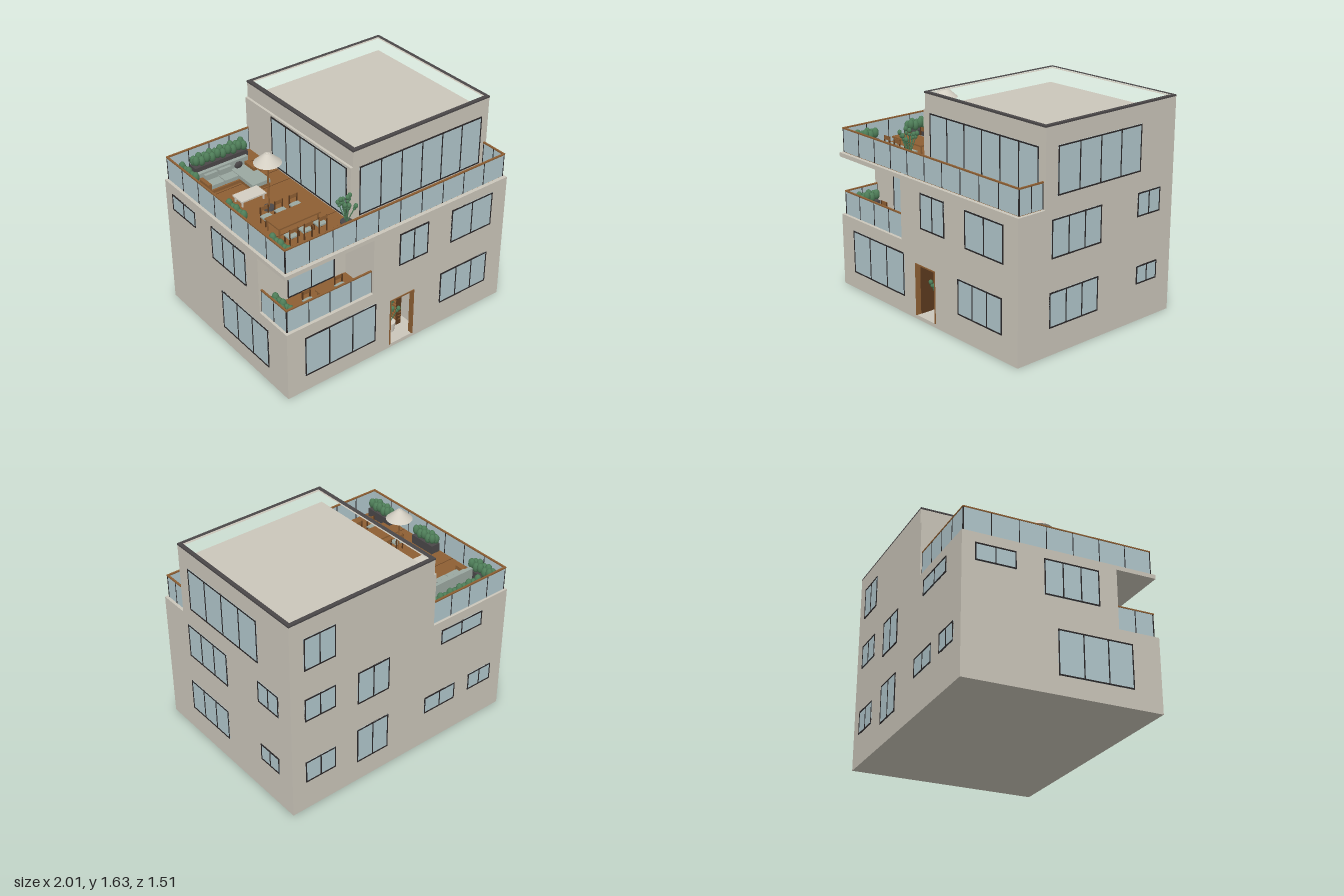
import * as THREE from 'three';

const mat = (name, color) => Object.assign(new THREE.MeshStandardMaterial({ color }), { name });

export function createModel() {
  const root = new THREE.Group();
  root.name = 'house';
  const M = {
    wall: mat('plaster', 0xcbc6ba), glass: mat('pale glass', 0xb1c7cc), frame: mat('dark frame', 0x2b2829),
    coping: mat('charcoal', 0x4a4748), wood: mat('warm wood', 0x8e5f33), dark: mat('dark wood', 0x5c3a1e),
    leaf: mat('leaf green', 0x4e7d58), fabric: mat('grey green fabric', 0x9ba8a1), cream: mat('cream', 0xd3cec2),
  };

  const group = (name) => {
    const g = new THREE.Group();
    g.name = name;
    root.add(g);
    return g;
  };
  const add = (name, geo, m, parent = root) => {
    const mesh = new THREE.Mesh(geo, m);
    mesh.name = name;
    parent.add(mesh);
    return mesh;
  };
  // box given by its extents
  const box = (name, x0, x1, y0, y1, z0, z1, m, parent) => {
    const b = add(name, new THREE.BoxGeometry(x1 - x0, y1 - y0, z1 - z0), m, parent);
    b.position.set((x0 + x1) / 2, (y0 + y1) / 2, (z0 + z1) / 2);
  };
  // upright prism from a floor plan of [x, z] points, with an optional hole
  const prism = (name, plan, y0, y1, m, hole) => {
    const pts = (a) => a.map(([x, z]) => new THREE.Vector2(x, -z));
    const shape = new THREE.Shape(pts(plan));
    if (hole) shape.holes.push(new THREE.Path(pts(hole)));
    const geo = new THREE.ExtrudeGeometry(shape, { depth: y1 - y0, bevelEnabled: false });
    add(name, geo.rotateX(-Math.PI / 2), m).position.y = y0;
  };
  const rect = (x0, x1, z0, z1) => [[x0, z0], [x1, z0], [x1, z1], [x0, z1]];

  // storeys: the ground floor has an entrance niche, the middle floor a corner balcony
  box('plinth', -1, 1, 0, 0.03, -0.75, 0.75, M.wall);
  prism('groundFloor', [[-1, -0.75], [1, -0.75], [1, 0.75], [0.13, 0.75], [0.13, 0.72], [0.2, 0.72],
    [0.2, 0.35], [-0.12, 0.35], [-0.12, 0.72], [-0.09, 0.72], [-0.09, 0.75], [-1, 0.75]], 0.03, 0.43, M.wall);
  box('groundFloorTop', -1, 1, 0.43, 0.57, -0.75, 0.75, M.wall);
  prism('middleFloor', [[-1, -0.75], [1, -0.75], [1, 0.75], [-0.25, 0.75], [-0.25, 0.43], [-1, 0.43]], 0.57, 1.03, M.wall);
  box('terraceSlab', -1, 1, 1.03, 1.062, -0.75, 0.75, M.wall);
  box('penthouse', -0.27, 1, 1.062, 1.5, -0.75, 0.51, M.wall);
  prism('parapet', rect(-0.25, 1, -0.75, 0.51), 1.5, 1.622, M.wall, rect(-0.22, 0.97, -0.72, 0.48));
  prism('coping', rect(-0.255, 1, -0.75, 0.515), 1.622, 1.634, M.coping, rect(-0.22, 0.97, -0.72, 0.485));

  // wooden floors
  box('terraceDeck', -0.975, -0.27, 1.062, 1.067, -0.73, 0.72, M.wood);
  box('frontDeck', -0.235, 0.975, 1.062, 1.067, 0.515, 0.72, M.wood);
  box('balconyDeck', -0.975, -0.25, 0.57, 0.575, 0.43, 0.72, M.wood);
  for (const z of [-0.57, -0.42, -0.35, -0.2, 0.35, 0.5, 0.57])
    box('deckJoint', -0.975, -0.27, 1.067, 1.068, z - 0.002, z + 0.002, M.dark);

  // windows of one wall: turn = quarter turns from the front, d = wall distance;
  // the returned function places a window from a0 to a1, rightwards as seen from outside
  const wallWindows = (turn, d) => (a0, a1, y0, y1, n) => {
    const g = group('window');
    g.rotation.y = turn * Math.PI / 2;
    box('glass', a0, a1, y0, y1, d - 0.002, d + 0.003, M.glass, g);
    for (const y of [y0, y1 - 0.01]) box('frameRail', a0, a1, y, y + 0.01, d, d + 0.006, M.frame, g);
    for (let i = 0; i <= n; i++) {
      const a = a0 + 0.004 + (a1 - a0 - 0.008) * i / n;
      box('frameStile', a - 0.004, a + 0.004, y0, y1, d, d + 0.006, M.frame, g);
    }
  };
  const front = wallWindows(0, 0.75), left = wallWindows(1, 1), back = wallWindows(2, 0.75), right = wallWindows(3, 1);
  const head = 0.985; // common window head of the middle floor
  front(-0.85, -0.225, 0.135, 0.475, 3);
  front(0.385, 0.845, 0.19, 0.46, 3);
  front(-0.02, 0.245, 0.715, head, 2);
  front(0.465, 0.86, 0.705, head, 2);
  wallWindows(0, 0.43)(-0.76, -0.35, 0.58, 0.96, 2);
  wallWindows(0, 0.51)(-0.195, 0.935, 1.09, 1.485, 6);
  wallWindows(3, 0.27)(-0.42, 0.47, 1.08, 1.485, 5);
  left(-0.4, 0.4, 1.14, 1.485, 4);
  left(-0.45, 0.02, 0.705, head, 3);
  left(0.385, 0.615, 0.805, head, 2);
  left(-0.465, 0, 0.205, 0.465, 3);
  left(0.395, 0.605, 0.29, 0.43, 2);
  for (const [y0, y1] of [[0.25, 0.435], [0.795, head], [1.225, 1.485]]) back(-0.885, -0.62, y0, y1, 2);
  for (const [y0, y1] of [[0.175, 0.475], [0.71, head]]) back(-0.425, -0.14, y0, y1, 2);
  back(0.35, 0.75, 0.86, head, 2);
  back(0.215, 0.515, 0.29, 0.435, 2);
  back(0.655, 0.885, 0.295, 0.44, 2);
  right(-0.045, 0.53, 0.14, 0.475, 3);
  right(-0.655, -0.35, 0.85, head, 2);
  right(-0.14, 0.285, 0.71, head, 3);

  // glass railings with wooden handrails
  const railing = (x0, z0, x1, z1, y0, n) => {
    const g = group('railing');
    const len = Math.hypot(x1 - x0, z1 - z0), h = 0.18;
    g.position.set(x0, y0, z0);
    g.rotation.y = Math.atan2(z0 - z1, x1 - x0);
    box('railGlass', 0, len, 0, h, -0.003, 0.003, M.glass, g);
    box('handrail', -0.006, len + 0.006, h, h + 0.01, -0.007, 0.007, M.wood, g);
    for (let i = 0; i <= n; i++) box('railPost', len * i / n - 0.003, len * i / n + 0.003, 0, h, -0.005, 0.005, M.frame, g);
  };
  const R = 0.977, F = 0.722, Y = 1.067, B = 0.575; // rail lines, terrace and balcony floor heights
  railing(-R, F, R, F, Y, 10);
  railing(-R, -0.732, -R, F, Y, 7);
  railing(-R, -0.732, -0.27, -0.732, Y, 4);
  railing(R, 0.515, R, F, Y, 2);
  railing(-R, F, -0.25, F, B - 0.005, 4);
  railing(-R, 0.43, -R, F, B - 0.005, 2);

  // entrance: frame, open door leaf and slatted shelf
  for (const x of [-0.092, 0.122]) box('doorJamb', x, x + 0.01, 0.03, 0.435, 0.715, 0.755, M.wood);
  box('doorHead', -0.092, 0.132, 0.425, 0.435, 0.715, 0.755, M.wood);
  box('doorLeaf', -0.085, -0.075, 0.032, 0.424, 0.51, 0.715, M.dark);
  box('doorHandle', -0.075, -0.065, 0.2, 0.22, 0.53, 0.55, M.frame);
  for (const z of [0.45, 0.6]) box('shelfSide', 0.095, 0.14, 0.03, 0.3, z, z + 0.008, M.dark);
  for (let i = 0; i < 9; i++) box('shelfSlat', 0.095, 0.14, 0.04 + i * 0.03, 0.052 + i * 0.03, 0.45, 0.608, M.wood);

  // planting
  const ball = new THREE.SphereGeometry(1, 10, 7);
  const planter = (x0, x1, z0, z1, y) => {
    const g = group('planter');
    box('trough', x0, x1, y, y + 0.07, z0, z1, M.coping, g);
    const nx = Math.round((x1 - x0) / 0.045), nz = Math.round((z1 - z0) / 0.045);
    for (let i = 0; i < nx; i++) for (let j = 0; j < nz; j++) {
      const b = add('shrub', ball, M.leaf, g);
      b.position.set(x0 + (x1 - x0) * (i + 0.5) / nx, y + 0.105 + 0.015 * ((i + j) % 2), z0 + (z1 - z0) * (j + 0.5) / nz);
      b.scale.set(0.027, 0.04, 0.027);
    }
  };
  for (const z of [-0.67, -0.06, 0.46]) planter(-0.965, -0.885, z, z + 0.225, Y);
  planter(-0.81, -0.35, -0.71, -0.63, Y);
  planter(-0.965, -0.885, 0.47, 0.69, B);

  const pottedPlant = (x, y, z, potMat) => {
    const g = group('pottedPlant');
    g.position.set(x, y, z);
    add('pot', new THREE.CylinderGeometry(0.045, 0.036, 0.08, 16), potMat, g).position.y = 0.04;
    for (let i = 0; i < 8; i++) {
      const t = i * 2.4, r = i ? 0.045 + 0.02 * (i % 2) : 0.01;
      const end = new THREE.Vector3(r * Math.cos(t), 0.27 - 0.018 * (i % 4), r * Math.sin(t));
      const path = new THREE.LineCurve3(new THREE.Vector3(0, 0.07, 0), end);
      add('stem', new THREE.TubeGeometry(path, 1, 0.004, 5), M.leaf, g);
      for (const [k, s] of [[1, 0.016], [0.85, 0.012]]) {
        const b = add('foliage', ball, M.leaf, g);
        b.position.copy(path.getPoint(k));
        b.scale.set(s, s * 1.2, s);
      }
    }
  };
  pottedPlant(0.02, 0.03, 0.62, M.cream);
  pottedPlant(-0.36, Y, 0.58, M.coping);

  // parasol
  const parasol = group('parasol');
  parasol.position.set(-0.62, Y, 0.03);
  add('pole', new THREE.CylinderGeometry(0.007, 0.007, 0.4, 10), M.wood, parasol).position.y = 0.2;
  add('base', new THREE.CylinderGeometry(0.04, 0.045, 0.015, 16), M.coping, parasol).position.y = 0.008;
  add('canopy', new THREE.CylinderGeometry(0.02, 0.1, 0.072, 24), M.cream, parasol).position.y = 0.415;
  add('finial', new THREE.SphereGeometry(0.018, 12, 6), M.cream, parasol).position.y = 0.44;

  // corner sofa
  const sofa = group('sofa');
  sofa.position.y = Y;
  box('sofaBase', -0.86, -0.44, 0, 0.025, -0.51, -0.37, M.wood, sofa);
  box('chaiseBase', -0.59, -0.44, 0, 0.025, -0.37, -0.215, M.wood, sofa);
  box('backrest', -0.865, -0.44, 0, 0.115, -0.52, -0.49, M.fabric, sofa);
  box('armrest', -0.865, -0.835, 0, 0.08, -0.49, -0.37, M.wood, sofa);
  box('sideArm', -0.475, -0.44, 0.055, 0.08, -0.49, -0.37, M.wood, sofa);
  for (const x of [-0.83, -0.71]) {
    box('seatCushion', x, x + 0.113, 0.025, 0.055, -0.49, -0.385, M.fabric, sofa);
    box('backCushion', x + 0.005, x + 0.108, 0.055, 0.1, -0.49, -0.465, M.fabric, sofa);
  }
  box('chaiseCushion', -0.592, -0.44, 0.025, 0.055, -0.49, -0.21, M.fabric, sofa);
  const pillow = add('pillow', ball, M.coping, sofa);
  pillow.position.set(-0.535, 0.08, -0.475);
  pillow.scale.set(0.035, 0.028, 0.012);

  // tables
  const table = (name, x0, x1, z0, z1, y, h, m) => {
    const g = group(name);
    box('top', x0, x1, y + h - 0.012, y + h, z0, z1, m, g);
    for (const x of [x0 + 0.01, x1 - 0.02]) for (const z of [z0 + 0.01, z1 - 0.02])
      box('leg', x, x + 0.01, y, y + h - 0.012, z, z + 0.01, m, g);
  };
  table('coffeeTable', -0.775, -0.565, -0.2, -0.08, Y, 0.055, M.cream);
  table('diningTable', -0.8, -0.445, 0.235, 0.405, Y, 0.1, M.wood);
  table('balconyTable', -0.61, -0.51, 0.55, 0.65, B, 0.08, M.wood);

  // chairs, facing +z unless turned
  const chair = (x, y, z, turn) => {
    const g = group('chair');
    g.position.set(x, y, z);
    g.rotation.y = turn;
    box('seat', -0.038, 0.038, 0.052, 0.064, -0.032, 0.032, M.fabric, g);
    for (const a of [-0.036, 0.028]) {
      box('frontLeg', a, a + 0.008, 0, 0.052, 0.022, 0.03, M.dark, g);
      box('backLeg', a, a + 0.008, 0, 0.13, -0.036, -0.028, M.dark, g);
    }
    box('backRail', -0.036, 0.036, 0.1, 0.13, -0.036, -0.03, M.wood, g);
  };
  for (const x of [-0.74, -0.62, -0.495]) {
    chair(x, Y, 0.18, 0);
    chair(x, Y, 0.46, Math.PI);
  }
  for (const x of [-0.7, -0.42]) chair(x, B, 0.6, 0);
  return root;
}
